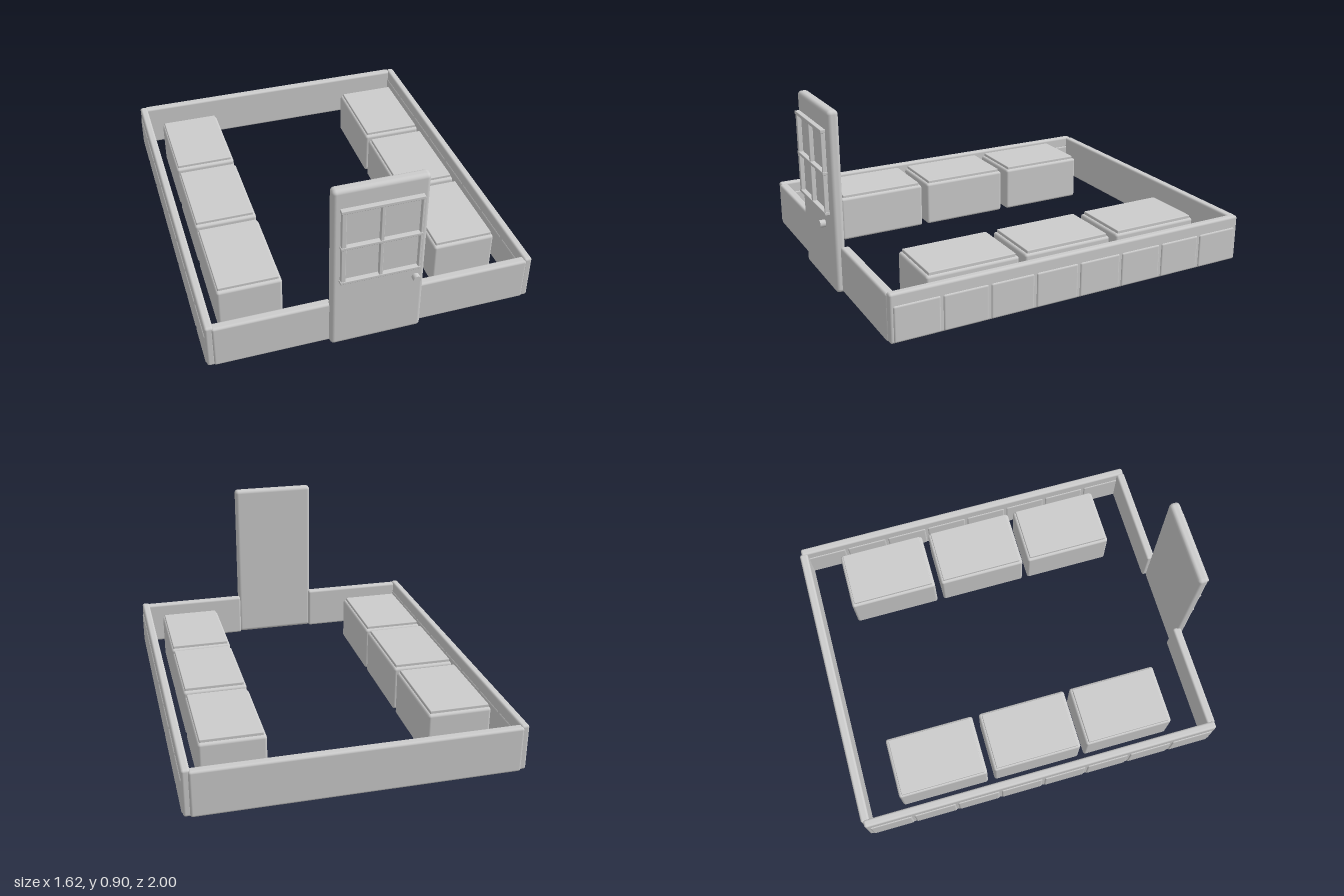
import * as THREE from 'three';
import { RoundedBoxGeometry } from 'three/addons/geometries/RoundedBoxGeometry.js';

export function createModel() {
  const model = new THREE.Group();
  model.name = 'roomFrame';
  const grey = new THREE.MeshStandardMaterial({ color: 0xcccccc });
  grey.name = 'light grey';

  // Rounded block given by its minimum and maximum on each axis
  function block(name, [x0, x1], [y0, y1], [z0, z1], radius, parent = model) {
    const geometry = new RoundedBoxGeometry(x1 - x0, y1 - y0, z1 - z0, 3, radius);
    const mesh = new THREE.Mesh(geometry, grey);
    mesh.name = name;
    mesh.position.set((x0 + x1) / 2, (y0 + y1) / 2, (z0 + z1) / 2);
    parent.add(mesh);
    return mesh;
  }
  // Range mirrored to the chosen side
  const flip = (side, a, b) => (side > 0 ? [a, b] : [-b, -a]);

  // Back wall
  block('backWall', [-0.775, 0.775], [0.008, 0.24], [-1, -0.955], 0.012);

  for (const side of [1, -1]) {
    const label = side > 0 ? 'left' : 'right';

    // Front wall beside the door
    block(label + 'FrontWall', flip(side, 0.215, 0.775), [0.008, 0.238], [0.877, 0.922], 0.012);

    // Side wall with a row of raised panels
    const wall = new THREE.Group();
    wall.name = label + 'SideWall';
    model.add(wall);
    block('wall', flip(side, 0.765, 0.805), [0.008, 0.245], [-0.988, 0.917], 0.012, wall);
    for (let i = 0; i < 8; i++) {
      const z = 0.902 - i * 0.2352;
      block('wallPanel', flip(side, 0.761, 0.81), [0.012, 0.188], [z - 0.224, z], 0.01, wall);
    }

    // Row of seats, each with a thin lid
    for (const z of [-0.545, -0.037, 0.465]) {
      const seat = new THREE.Group();
      seat.name = label + 'Seat';
      model.add(seat);
      block('seatBox', flip(side, 0.387, 0.705), [0, 0.238], [z - 0.236, z + 0.236], 0.014, seat);
      block('seatLid', flip(side, 0.4, 0.696), [0.23, 0.253], [z - 0.221, z + 0.221], 0.004, seat);
    }
  }

  // Door slab
  const door = new THREE.Group();
  door.name = 'door';
  model.add(door);
  block('doorSlab', [-0.226, 0.222], [0.003, 0.903], [0.896, 0.951], 0.02, door);

  // Window frame bars
  for (const [y0, y1] of [[0.396, 0.411], [0.594, 0.609], [0.795, 0.812]])
    block('windowRail', [-0.194, 0.189], [y0, y1], [0.953, 0.978], 0.003, door);
  for (const [x0, x1] of [[-0.19, -0.168], [-0.01, 0.007], [0.177, 0.187]])
    block('windowStile', [x0, x1], [0.399, 0.81], [0.954, 0.976], 0.003, door);

  // Door knob
  const knob = new THREE.Mesh(new THREE.CylinderGeometry(0.018, 0.018, 0.027, 24), grey);
  knob.name = 'doorKnob';
  knob.rotation.x = Math.PI / 2;
  knob.position.set(0.168, 0.353, 0.9865);
  door.add(knob);

  return model;
}
